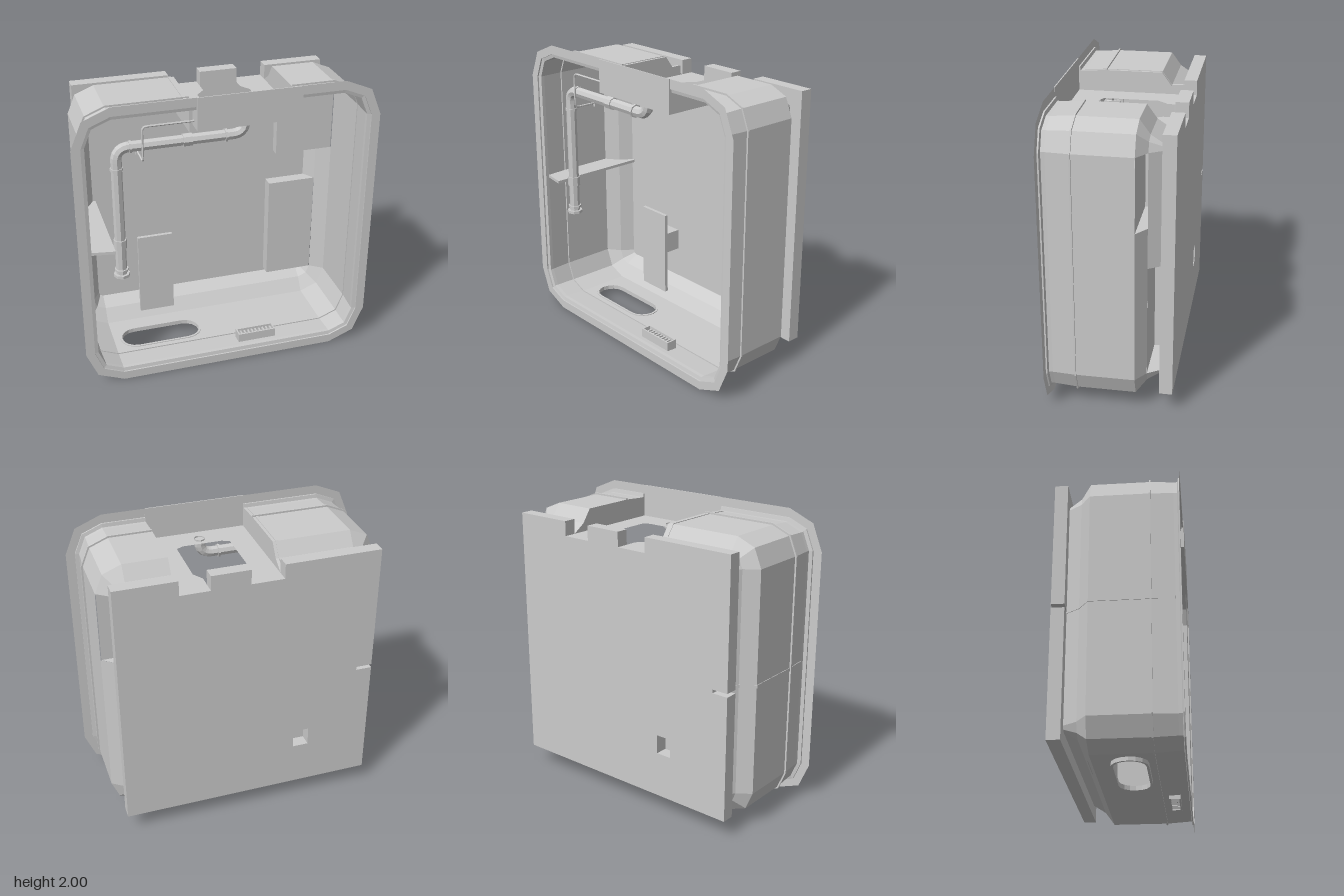
import * as THREE from 'three';

const mat = new THREE.MeshStandardMaterial({ color: 0xcccccc, flatShading: true, side: THREE.DoubleSide });
const CORNER = 0.75; // centre offset of all rounded corners
const L = -0.22, R = 0.46, FLOOR = 1.78; // recess in the top

// shell profile from front to back: [z, half size]
const PROFILE = [
  [0.4, 0.94], [0.39, 0.94], [0.385, 0.915], [0.36, 0.915], [0.215, 0.925], [0.215, 0.937],
  [0.205, 0.937], [0.205, 0.925], [-0.17, 0.925], [-0.235, 0.835], [-0.32, 0.78],
];

function corner(sx, sy, h, a0) {
  const r = h - CORNER;
  return [0, 1, 2].map(i => {
    const a = a0 - i * Math.PI / 4;
    return [sx * CORNER + r * Math.cos(a), 1 + sy * CORNER + r * Math.sin(a)];
  });
}

function roundedSquare(h) {
  return [...corner(1, 1, h, Math.PI / 2), ...corner(1, -1, h, 0),
    ...corner(-1, -1, h, -Math.PI / 2), ...corner(-1, 1, h, Math.PI)];
}

// outline with a gap for the recess and split points beside the wall pockets
function openOutline(h) {
  const p = roundedSquare(h);
  return [[R, 1 + h], ...p.slice(0, 3), [h, 1.27], [h, 1.0], ...p.slice(3), [L, 1 + h]];
}

const shapeOf = pts => new THREE.Shape(pts.map(([x, y]) => new THREE.Vector2(x, y)));
const pathOf = pts => new THREE.Path(pts.map(([x, y]) => new THREE.Vector2(x, y)));
const rect = (x0, y0, x1, y1) => [[x0, y0], [x1, y0], [x1, y1], [x0, y1]];

function quads(list) {
  const pos = [];
  for (const [a, b, c, d] of list) pos.push(...a, ...b, ...c, ...a, ...c, ...d);
  const g = new THREE.BufferGeometry();
  g.setAttribute('position', new THREE.Float32BufferAttribute(pos, 3));
  g.computeVertexNormals();
  return g;
}

function stadium(cx, cy, half, r) {
  const pts = [];
  for (let i = 0; i <= 8; i++) pts.push([cx + half - r + r * Math.sin(i * Math.PI / 8), cy - r * Math.cos(i * Math.PI / 8)]);
  for (let i = 0; i <= 8; i++) pts.push([cx - half + r - r * Math.sin(i * Math.PI / 8), cy + r * Math.cos(i * Math.PI / 8)]);
  return pts;
}

export function createModel() {
  const model = new THREE.Group();
  const add = (name, geo) => {
    const m = new THREE.Mesh(geo, mat);
    m.name = name;
    model.add(m);
    return m;
  };
  const box = (name, x0, x1, y0, y1, z0, z1) =>
    add(name, new THREE.BoxGeometry(x1 - x0, y1 - y0, z1 - z0)
      .translate((x0 + x1) / 2, (y0 + y1) / 2, (z0 + z1) / 2));
  // shape drawn in (x, -z), laid flat
  const flat = (geo, y) => geo.rotateX(-Math.PI / 2).translate(0, y, 0);

  // shell, leaving out the pocket openings and the pierced floor
  const skip = new Set(['8,3', '9,5', '7,8']);
  const cells = [];
  for (let i = 0; i < PROFILE.length - 1; i++) {
    const [za, ha] = PROFILE[i], [zb, hb] = PROFILE[i + 1];
    const a = openOutline(ha), b = openOutline(hb);
    for (let j = 0; j < a.length - 1; j++) {
      if (skip.has(`${i},${j}`)) continue;
      cells.push([[...a[j], za], [...b[j], zb], [...b[j + 1], zb], [...a[j + 1], za]]);
    }
  }
  add('shell', quads(cells));

  // bottom with an oval opening and its collar
  const bottom = shapeOf(rect(-CORNER, -0.205, CORNER, 0.17));
  bottom.holes.push(pathOf(stadium(-0.41, -0.055, 0.28, 0.1)));
  add('bottom', flat(new THREE.ShapeGeometry(bottom), 0.075));
  const collar = shapeOf(stadium(-0.41, -0.055, 0.295, 0.115));
  collar.holes.push(pathOf(stadium(-0.41, -0.055, 0.28, 0.1)));
  add('openingCollar', flat(new THREE.ExtrudeGeometry(collar, { depth: 0.03, bevelEnabled: false }), 0.05));

  // flat front flange
  const flange = shapeOf(roundedSquare(1));
  flange.holes.push(pathOf(roundedSquare(0.94)));
  add('frontFlange', new THREE.ShapeGeometry(flange).translate(0, 0, 0.4));

  // recess in the top: floor with a keyhole cut, side walls, front panel
  const floor = shapeOf([
    [L, -0.4], [R, -0.4], [R, 0.32], [0.26, 0.32], [0.26, 0.24], [0.305, 0.17], [0.305, -0.195],
    [0.26, -0.22], [-0.01, -0.22], [-0.06, -0.195], [-0.06, 0.17], [0, 0.24], [0, 0.32], [L, 0.32],
  ]);
  const pipeHole = [];
  for (let i = 0; i < 6; i++) {
    const a = Math.PI / 6 + i * Math.PI / 3;
    pipeHole.push([0.125 + 0.038 * Math.cos(a), -0.285 + 0.038 * Math.sin(a)]);
  }
  floor.holes.push(pathOf(pipeHole));
  add('recessFloor', flat(new THREE.ShapeGeometry(floor), FLOOR));
  const wall = [...PROFILE.map(([z, h]) => [-z, 1 + h]), [0.32, FLOOR], [-0.4, FLOOR]];
  for (const x of [L, R])
    add('recessSide', new THREE.ShapeGeometry(shapeOf(wall)).rotateY(Math.PI / 2).translate(x, 0, 0));
  box('recessFront', L, R, FLOOR, 2, 0.398, 0.405);

  // back panel with notched top, duct hole and edge slit
  const panel = shapeOf([
    [-0.87, 0.13], [0.87, 0.13], [0.87, 1.88], [R, 1.88], [R, FLOOR], [0.26, FLOOR], [0.26, 1.88],
    [0, 1.88], [0, FLOOR], [L, FLOOR], [L, 1.88], [-0.87, 1.88],
    [-0.87, 1.012], [-0.76, 1.012], [-0.76, 0.988], [-0.87, 0.988],
  ]);
  panel.holes.push(pathOf(rect(-0.43, 0.44, -0.32, 0.57)));
  add('backPanel', new THREE.ExtrudeGeometry(panel, { depth: 0.085, bevelEnabled: false }).translate(0, 0, -0.405));

  // wall pockets, open through the shell on the left side
  const pocket = (x0, y0, y1, zf, hf, zb, hb) => {
    const ring = y => [[hb, y, zb], [x0, y, zb], [x0, y, zf], [hf, y, zf]];
    const lo = ring(y0), hi = ring(y1);
    add('wallPocket', quads([lo, hi, ...[0, 1, 2].map(i => [lo[i], lo[i + 1], hi[i + 1], hi[i]])]));
  };
  pocket(0.51, 1.27, 1.755, -0.17, 0.92, -0.235, 0.835);
  pocket(0.49, 0.25, 1.005, -0.235, 0.833, -0.318, 0.782);

  // standing plate and the duct behind it
  box('standingPlate', -0.5, -0.25, 0.125, 0.74, -0.21, -0.185);
  box('duct', -0.44, -0.255, 0.44, 0.59, -0.32, -0.21);

  // side shelf following the wall
  const wallLine = PROFILE.slice(3).filter(p => p[1] < 0.93);
  const shelf = shapeOf([[-0.76, -0.385], ...wallLine.map(([z, h]) => [-h - 0.004, -z]), [-0.76, 0.32]]);
  add('sideShelf', flat(new THREE.ExtrudeGeometry(shelf, { depth: 0.02, bevelEnabled: false }), 0.99));

  // upright fin beside the recess
  const finLine = wallLine.slice(0, -1).map(([z, h]) => [-z, 1.004 + h]);
  const fin = shapeOf([[-0.36, 1.76], ...finLine, [0.32, 1.84], [0.32, 1.76]]);
  add('topFin', new THREE.ExtrudeGeometry(fin, { depth: 0.02, bevelEnabled: false })
    .rotateY(Math.PI / 2).translate(-0.26, 0, 0));

  // drain tray with slats
  for (const z of [0.255, 0.32]) box('drainSide', 0.09, 0.36, 0.055, 0.145, z, z + 0.01);
  for (const x of [0.09, 0.35]) box('drainEnd', x, x + 0.01, 0.055, 0.145, 0.255, 0.33);
  for (let i = 1; i < 10; i++) box('drainSlat', 0.09 + i * 0.027, 0.102 + i * 0.027, 0.065, 0.13, 0.26, 0.325);

  // bent pipes: straight runs joined by rounded elbows
  const bentPipe = (name, pts, bend, radius, sides, steps) => {
    const v = pts.map(p => new THREE.Vector3(...p));
    const curve = new THREE.CurvePath();
    let from = v[0];
    for (let i = 1; i < v.length - 1; i++) {
      const a = v[i].clone().add(v[i - 1].clone().sub(v[i]).setLength(bend));
      const b = v[i].clone().add(v[i + 1].clone().sub(v[i]).setLength(bend));
      curve.add(new THREE.LineCurve3(from, a));
      curve.add(new THREE.QuadraticBezierCurve3(a, v[i], b));
      from = b;
    }
    curve.add(new THREE.LineCurve3(from, v[v.length - 1]));
    add(name, new THREE.TubeGeometry(curve, steps, radius, sides));
  };
  const PZ = 0.285;
  bentPipe('mainPipe', [[0.125, 1.79, PZ], [0.125, 1.68, PZ], [-0.71, 1.68, PZ], [-0.71, 0.77, PZ]], 0.085, 0.036, 8, 70);
  bentPipe('thinPipe', [[-0.23, 1.835, 0.36], [-0.555, 1.835, 0.36], [-0.555, 1.6, 0.36], [-0.555, 1.6, 0.18]], 0.03, 0.007, 6, 50);
  box('thinPipeEnd', -0.566, -0.544, 1.575, 1.61, 0.17, 0.2);

  // pipe couplings: [x, y, radius, length, horizontal]
  const couplings = [
    [-0.62, 1.68, 0.042, 0.014, true], [-0.255, 1.68, 0.043, 0.06, true], [-0.005, 1.68, 0.045, 0.014, true],
    [-0.71, 1.54, 0.042, 0.016, false], [-0.71, 1.005, 0.044, 0.065, false],
    [-0.71, 0.81, 0.046, 0.016, false], [-0.71, 0.772, 0.054, 0.02, false], [0.125, 1.77, 0.046, 0.02, false],
  ];
  for (const [x, y, r, len, horizontal] of couplings) {
    const m = add('pipeCoupling', new THREE.CylinderGeometry(r, r, len, 8));
    m.position.set(x, y, PZ);
    if (horizontal) m.rotation.z = Math.PI / 2;
  }
  return model;
}
